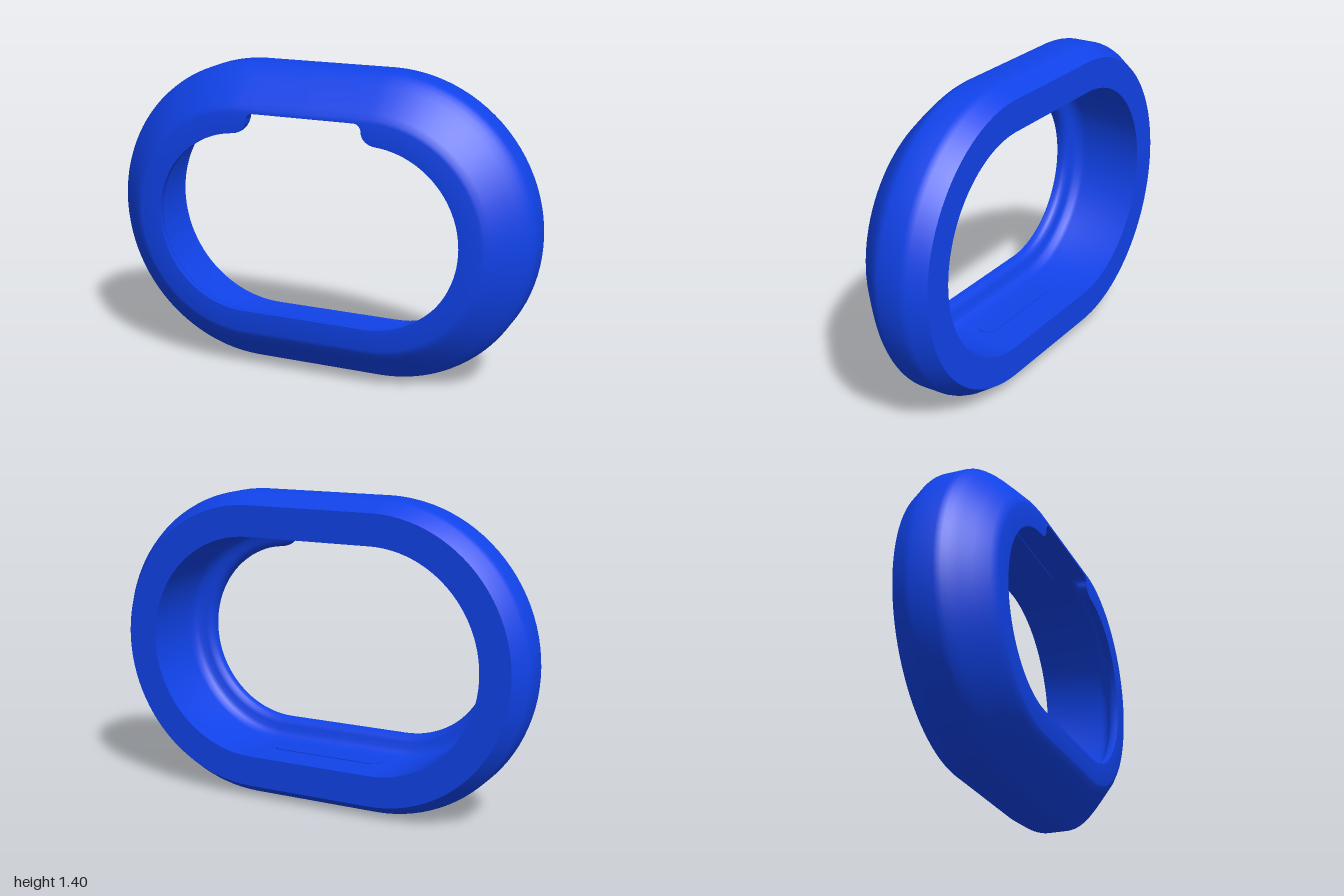
import * as THREE from 'three';
import { toCreasedNormals } from 'three/addons/utils/BufferGeometryUtils.js';

const HALF = 0.3, MID = 0.7;          // half straight length, centre height
const BORE = 0.505, LIP = 0.413;      // inner radii behind and at the front lip
const DROP = BORE - LIP;

// Cross-section: [radius, z, share of lip height]; lip points fade out in the notch
const profile = [
  [0.51, 0.2], [0.525, 0.195], [0.55, 0.178], [0.6, 0.13], [0.65, 0.08], [0.675, 0.052],
  [0.69, 0.03], [0.697, 0.015], [0.7, 0], [0.7, -0.1], [0.697, -0.115], [0.69, -0.132],
  [0.645, -0.2], [BORE, -0.2],
  [BORE, 0.09, 0], [BORE, 0.11, 0.05], [BORE, 0.128, 0.18], [BORE, 0.14, 0.38],
  [BORE, 0.145, 0.65], [BORE, 0.152, 0.84], [BORE, 0.163, 0.95], [BORE, 0.178, 1], [BORE, 0.2, 1],
];

// Lip height (0 to 1) along the contour: a notch at the top with rounded corners
function lipShare(s) {
  if (s <= 0.235) return 0;
  const arc = (u) => 1 - Math.sqrt(Math.max(0, 1 - u * u));
  if (s <= 0.27) return 0.035 * arc((s - 0.235) / 0.035) / DROP;
  if (s < 0.335) return 1 - (DROP - 0.035) * arc((0.335 - s) / 0.065) / DROP;
  return 1;
}

// Stations from top centre round to bottom centre, then mirrored to the other side
function stations() {
  const half = [{ x: 0, a: 0, n: 0 }];
  const add = (s) => {
    const a = Math.max(0, (s - HALF) / LIP);
    half.push({ x: Math.min(s, HALF), a, n: lipShare(s) });
  };
  for (let i = 0; i <= 8; i++) add(0.235 + 0.035 * Math.sin(i / 8 * Math.PI / 2));
  for (let i = 1; i <= 10; i++) add(0.335 - 0.065 * Math.cos(i / 10 * Math.PI / 2));
  const start = 0.335, end = HALF + LIP * Math.PI;
  for (let i = 1; i <= 48; i++) add(start + (end - start) * i / 48);
  half.push({ x: 0, a: Math.PI, n: 1 });
  const mirrored = half.slice(1, -1).reverse().map((p) => ({ x: -p.x, a: -p.a, n: p.n }));
  return half.concat(mirrored);
}

function ringGeometry() {
  const path = stations(), m = profile.length, pos = [], index = [];
  path.forEach((p, i) => {
    const next = (i + 1) % path.length;
    profile.forEach(([r0, z, k = 0], j) => {
      const r = r0 - DROP * k * p.n;
      pos.push(p.x + r * Math.sin(p.a), MID + r * Math.cos(p.a), z);
      const j2 = (j + 1) % m;
      const a = i * m + j, b = next * m + j, c = next * m + j2, d = i * m + j2;
      index.push(a, b, c, a, c, d);
    });
  });
  const geo = new THREE.BufferGeometry();
  geo.setAttribute('position', new THREE.Float32BufferAttribute(pos, 3));
  geo.setIndex(index);
  return toCreasedNormals(geo, 0.6);
}

// Thin pill-shaped pad
function pillGeometry(halfLength, radius, depth) {
  const c = halfLength - radius;
  const shape = new THREE.Shape();
  shape.absarc(c, 0, radius, -Math.PI / 2, Math.PI / 2);
  shape.absarc(-c, 0, radius, Math.PI / 2, Math.PI * 1.5);
  const geo = new THREE.ExtrudeGeometry(shape, { depth, bevelEnabled: false, curveSegments: 16 });
  geo.translate(0, 0, -depth / 2);
  return geo.rotateX(Math.PI / 2);
}

export function createModel() {
  const group = new THREE.Group();
  group.name = 'roundedRing';
  const material = new THREE.MeshStandardMaterial({ color: 0x1042e8 });

  const ring = new THREE.Mesh(ringGeometry(), material);
  ring.name = 'ringBody';
  group.add(ring);

  // Pads on the floor and ceiling of the bore
  const pill = pillGeometry(0.27, 0.045, 0.008);
  for (const [name, side] of [['lowerPad', -1], ['upperPad', 1]]) {
    const pad = new THREE.Mesh(pill, material);
    pad.name = name;
    pad.position.y = MID + side * BORE;
    group.add(pad);
  }
  return group;
}
